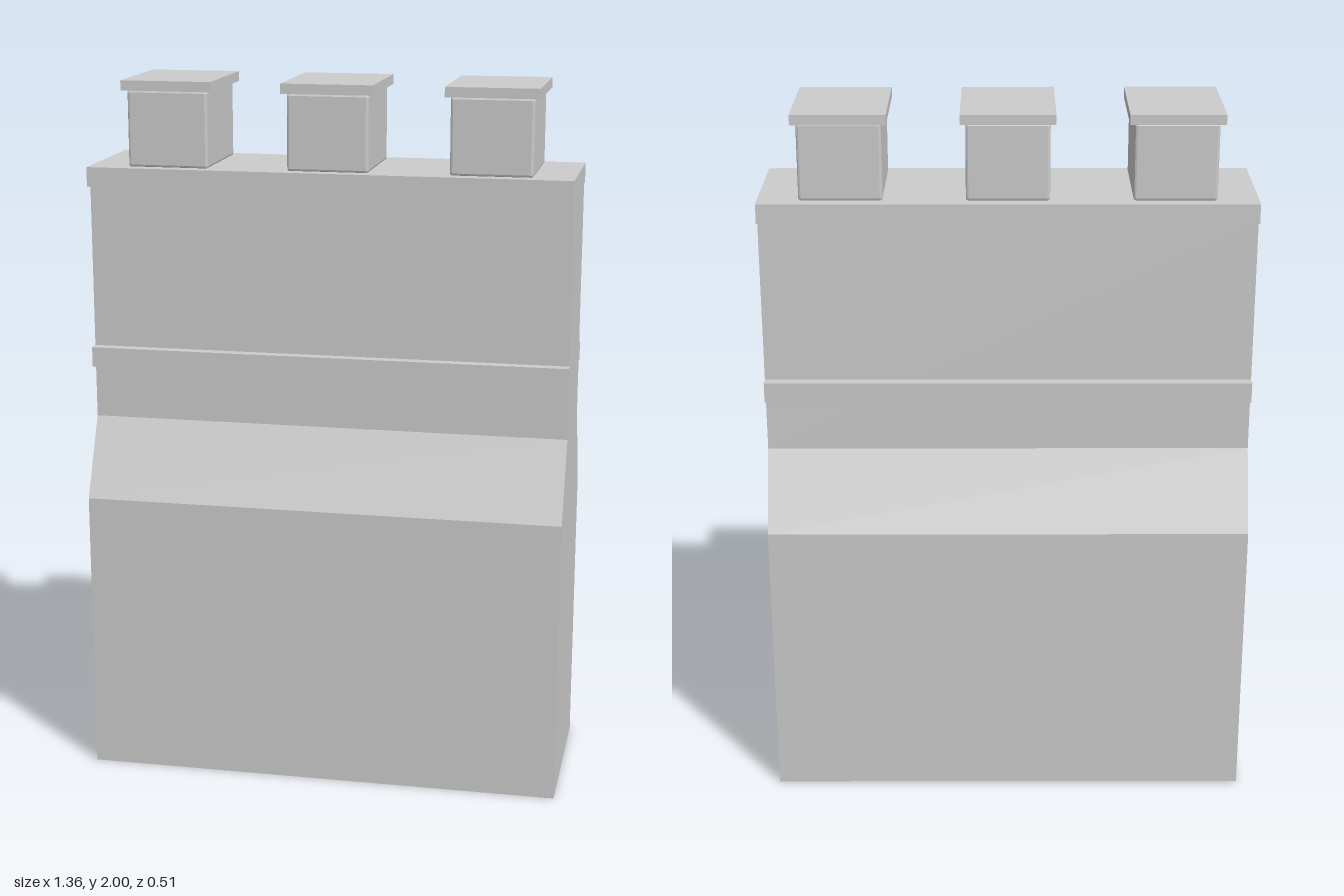
import * as THREE from 'three';
import { RoundedBoxGeometry } from 'three/addons/geometries/RoundedBoxGeometry.js';

const WIDTH = 1.36;
const material = new THREE.MeshStandardMaterial({ color: 0xcccccc, flatShading: true });

function part(name, geometry, x, y, z) {
  const mesh = new THREE.Mesh(geometry, material);
  mesh.name = name;
  mesh.position.set(x, y, z);
  return mesh;
}

// Box placed by the height of its underside
function box(name, w, h, d, x, bottom, z) {
  return part(name, new THREE.BoxGeometry(w, h, d), x, bottom + h / 2, z);
}

export function createModel() {
  const group = new THREE.Group();
  group.name = 'chimneyStack';

  // Stack with a broad base and sloped shoulders, extruded along x
  const half = [[0.257, 0], [0.257, 0.815], [0.152, 1.035], [0.152, 1.705]];
  const outline = [...half, ...half.map(([z, y]) => [-z, y]).reverse()];
  const shape = new THREE.Shape(outline.map(([z, y]) => new THREE.Vector2(-z, y)));
  const stack = new THREE.ExtrudeGeometry(shape, { depth: WIDTH, bevelEnabled: false });
  stack.translate(0, 0, -WIDTH / 2).rotateY(Math.PI / 2);
  group.add(part('stack', stack, 0, 0, 0));

  // Raised course on the front and back
  for (const side of [1, -1]) {
    group.add(box(side > 0 ? 'frontCourse' : 'backCourse', WIDTH, 0.057, 0.032, 0, 1.187, side * 0.167));
  }

  // Top slab
  group.add(box('topSlab', WIDTH, 0.055, 0.366, 0, 1.705, 0));

  // Three flues with softened edges and flat lids
  for (const x of [-0.453, 0, 0.453]) {
    const flue = new THREE.Group();
    flue.name = 'flue';
    flue.add(part('flueBody', new RoundedBoxGeometry(0.228, 0.214, 0.298, 1, 0.007), x, 1.866, 0));
    flue.add(box('flueLid', 0.257, 0.028, 0.325, x, 1.972, -0.002));
    group.add(flue);
  }

  return group;
}
